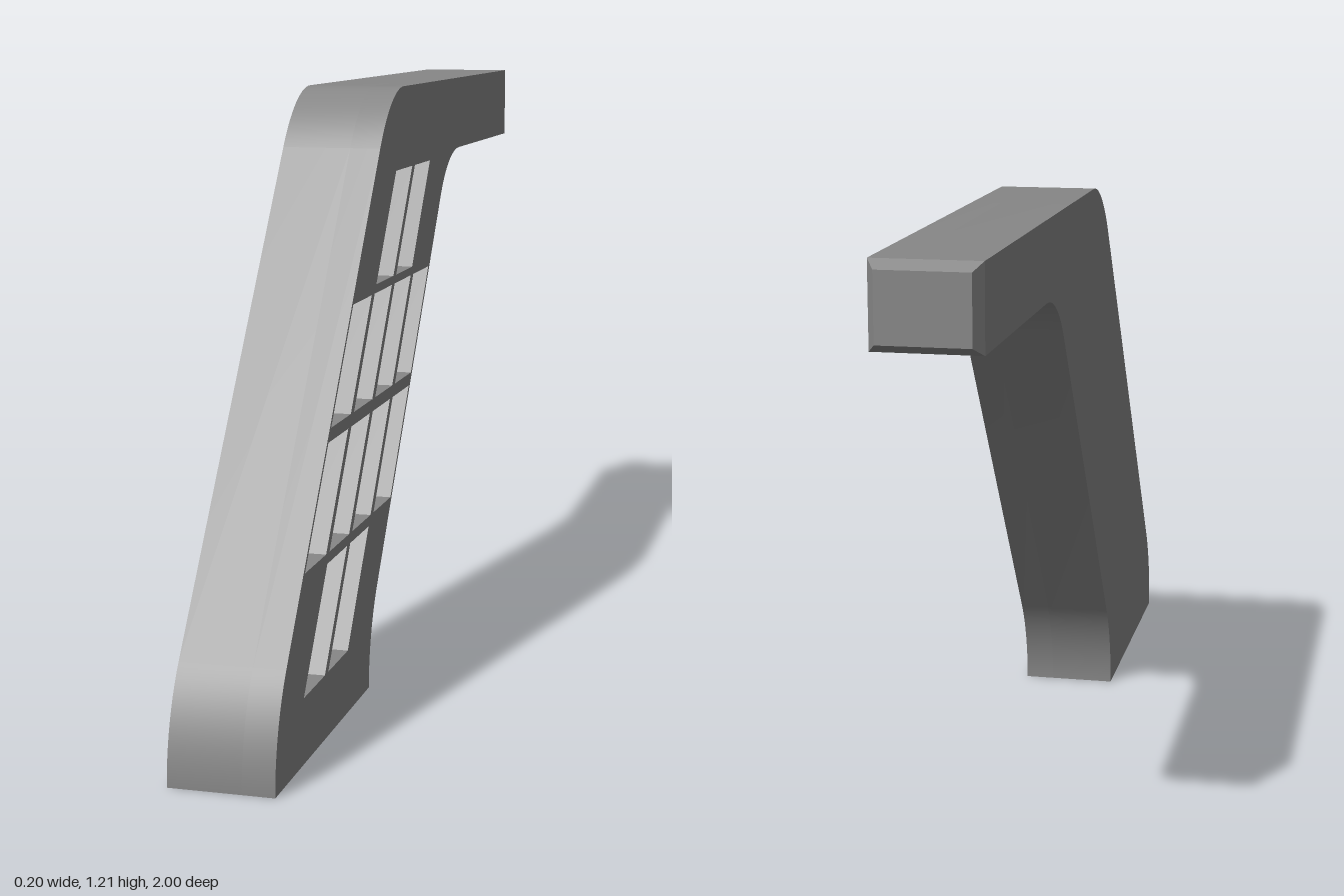
import * as THREE from 'three';
import { toCreasedNormals } from 'three/addons/utils/BufferGeometryUtils.js';

const HALF = 0.101;    // half the thickness in x
const DEPTH = 0.062;   // depth of the pockets
const SLOPE = 0.743;   // z lost per unit of height along the leaning leg
const END = -0.975;    // z where the chamfered tip begins
const ARM_LOW = 1.046, ARM_TOP = 1.206;

// Side outline as [z, y, rounding before the corner, rounding after it]
const OUTLINE = [
  [1, 0, 0, 0], [0.365, 0, 0, 0], [0.365, 0.11, 0.109, 0.109], [-0.33, ARM_LOW, 0.12, 0.11],
  [END, ARM_LOW, 0, 0], [END, ARM_TOP, 0, 0], [0.191, ARM_TOP, 0.105, 0.145], [1, 0.118, 0.117, 0.117],
];

// Closed shape with rounded corners; shape x is -z
function filletedShape(corners) {
  const shape = new THREE.Shape();
  const pts = corners.map(([z, y]) => new THREE.Vector2(-z, y));
  const n = pts.length;
  pts.forEach((p, i) => {
    const [, , before, after] = corners[i];
    if (!before) return i ? shape.lineTo(p.x, p.y) : shape.moveTo(p.x, p.y);
    const toward = (q, d) => q.clone().sub(p).setLength(d).add(p);
    const prev = pts[(i + n - 1) % n], next = pts[(i + 1) % n];
    const a = toward(prev, before), b = toward(next, after);
    const ha = toward(prev, before * 0.37), hb = toward(next, after * 0.37);
    shape.lineTo(a.x, a.y);
    shape.bezierCurveTo(ha.x, ha.y, hb.x, hb.y, b.x, b.y);
  });
  shape.closePath();
  return shape;
}

// Slanted pocket openings: four rows, the outer rows only have the middle columns
function pocketHoles() {
  const rows = [[0.126, 0.338, 1, 2], [0.358, 0.568, 0, 3], [0.593, 0.804, 0, 3], [0.821, 1.036, 1, 2]];
  const width = 0.138, pitch = 0.161;
  const holes = [];
  for (const [y0, y1, first, last] of rows) {
    for (let c = first; c <= last; c++) {
      const x = (y) => -(0.48 - pitch * c - (y - 0.805) * SLOPE);
      holes.push(new THREE.Path([
        new THREE.Vector2(x(y0), y0), new THREE.Vector2(x(y1), y1),
        new THREE.Vector2(x(y1) + width, y1), new THREE.Vector2(x(y0) + width, y0),
      ]));
    }
  }
  return holes;
}

function slab(shape, x0, x1) {
  const geo = new THREE.ExtrudeGeometry(shape, { depth: x1 - x0, bevelEnabled: false, curveSegments: 14 });
  geo.rotateY(Math.PI / 2).translate(x0, 0, 0);
  return toCreasedNormals(geo, 0.5);
}

export function createModel() {
  const group = new THREE.Group();
  group.name = 'bracket';
  const material = new THREE.MeshStandardMaterial({ color: 0x878787 });
  const add = (name, geo) => {
    const mesh = new THREE.Mesh(geo, material);
    mesh.name = name;
    group.add(mesh);
    return mesh;
  };

  // Plain half, whose inner face forms the pocket floors
  add('solidSide', slab(filletedShape(OUTLINE), -HALF, HALF - DEPTH));

  // Ribbed half with the pockets cut through
  const ribbed = filletedShape(OUTLINE);
  ribbed.holes.push(...pocketHoles());
  add('ribbedSide', slab(ribbed, HALF - DEPTH, HALF));

  // Chamfered tip of the arm: a box whose far face is shrunk
  const length = 1 + END, inset = 0.016;
  let tip = new THREE.BoxGeometry(2 * HALF, ARM_TOP - ARM_LOW, length);
  const pos = tip.attributes.position;
  for (let i = 0; i < pos.count; i++) {
    if (pos.getZ(i) > 0) continue;
    pos.setX(i, pos.getX(i) - Math.sign(pos.getX(i)) * inset);
    pos.setY(i, pos.getY(i) - Math.sign(pos.getY(i)) * inset);
  }
  tip = tip.toNonIndexed();
  tip.computeVertexNormals();
  add('armTip', tip).position.set(0, (ARM_LOW + ARM_TOP) / 2, END - length / 2);

  return group;
}
